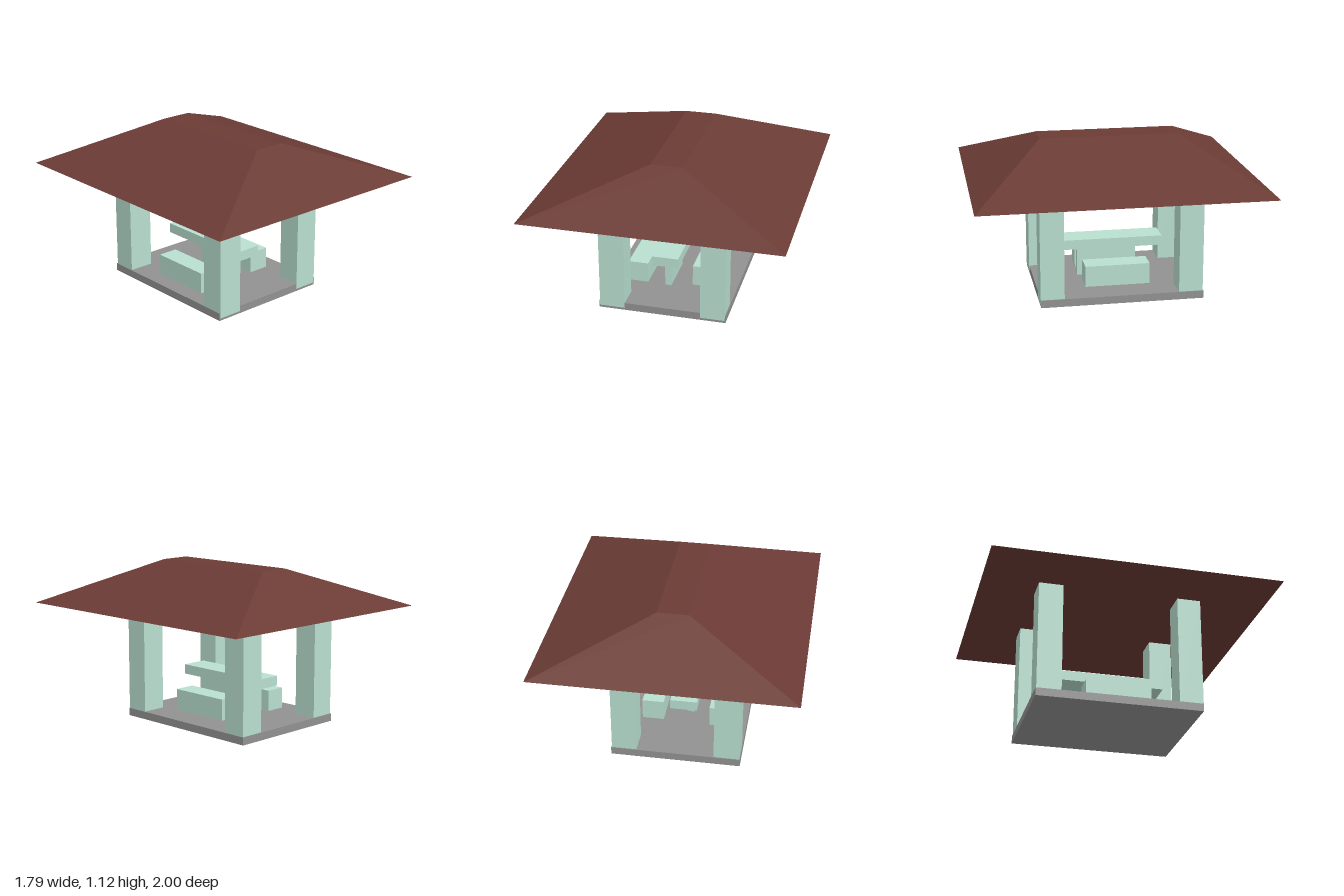
import * as THREE from 'three';

const mint = new THREE.MeshStandardMaterial({ color: 0xb9dfd0, flatShading: true });
const stone = new THREE.MeshStandardMaterial({ color: 0x929292, flatShading: true });
const tile = new THREE.MeshStandardMaterial({ color: 0x6b3b35, flatShading: true });

// Box given by its extents along each axis
function block(name, material, [x0, x1], [y0, y1], [z0, z1]) {
  const mesh = new THREE.Mesh(new THREE.BoxGeometry(x1 - x0, y1 - y0, z1 - z0), material);
  mesh.position.set((x0 + x1) / 2, (y0 + y1) / 2, (z0 + z1) / 2);
  mesh.name = name;
  return mesh;
}

// Box whose top face is pulled in to a smaller rectangle
function hippedRoof(halfX, halfZ, topX, topZ, y0, y1) {
  const geometry = new THREE.BoxGeometry(2, y1 - y0, 2);
  const p = geometry.attributes.position;
  for (let i = 0; i < p.count; i++) {
    const top = p.getY(i) > 0;
    p.setX(i, p.getX(i) * (top ? topX : halfX));
    p.setZ(i, p.getZ(i) * (top ? topZ : halfZ));
  }
  geometry.computeVertexNormals();
  const mesh = new THREE.Mesh(geometry, tile);
  mesh.position.y = (y0 + y1) / 2;
  mesh.name = 'roof';
  return mesh;
}

export function createModel() {
  const group = new THREE.Group();
  group.name = 'pavilion';

  group.add(block('floor', stone, [-0.485, 0.425], [0, 0.055], [-0.615, 0.535]));

  // Four corner posts, set into the floor
  const postX = { right: [-0.48, -0.3], left: [0.245, 0.42] };
  const postZ = { front: [0.37, 0.537], back: [-0.61, -0.44] };
  for (const end in postZ) {
    for (const side in postX) {
      group.add(block(`${end}${side === 'left' ? 'Left' : 'Right'}Post`, mint, postX[side], [0.017, 0.84], postZ[end]));
    }
  }

  // Table
  const table = new THREE.Group();
  table.name = 'table';
  table.add(
    block('tableTop', mint, [-0.15, 0.04], [0.28, 0.35], [-0.395, 0.35]),
    block('tableLeg', mint, [-0.09, -0.045], [0.05, 0.28], [-0.11, 0.215])
  );
  group.add(table);

  // Benches on either side of the table
  group.add(
    block('rightBench', mint, [-0.365, -0.22], [0.05, 0.205], [-0.25, 0.205]),
    block('leftBench', mint, [0.11, 0.265], [0.075, 0.225], [-0.26, 0.2])
  );

  group.add(hippedRoof(0.895, 1, 0.11, 0.49, 0.835, 1.125));
  return group;
}
